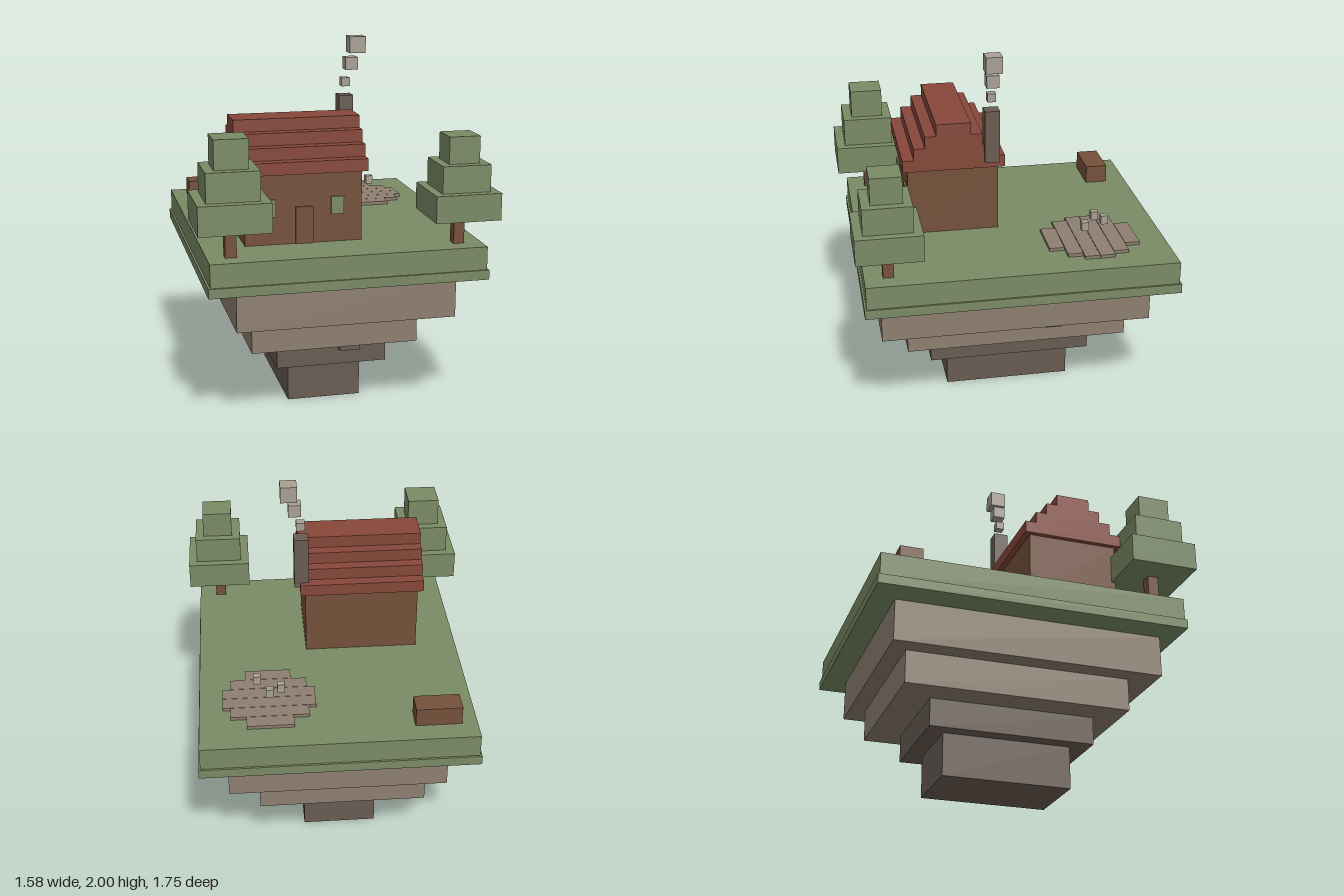
import * as THREE from 'three';

const mat = (name, color) => {
  const m = new THREE.MeshStandardMaterial({ color });
  m.name = name;
  return m;
};

export function createModel() {
  const grass = mat('grass green', 0x7a8a65);
  const dirt = mat('dirt', 0x8d7f70);
  const stone = mat('dark stone', 0x695c52);
  const wood = mat('wood brown', 0x75503a);
  const roofRed = mat('roof red', 0x87483a);
  const smokeGrey = mat('smoke grey', 0xa89f94);

  const model = new THREE.Group();
  model.name = 'floatingIsland';
  const group = (name) => {
    const g = new THREE.Group();
    g.name = name;
    model.add(g);
    return g;
  };
  // Box given by its limits along each axis
  const box = (parent, name, material, [x0, x1], [y0, y1], [z0, z1]) => {
    const mesh = new THREE.Mesh(new THREE.BoxGeometry(x1 - x0, y1 - y0, z1 - z0), material);
    mesh.position.set((x0 + x1) / 2, (y0 + y1) / 2, (z0 + z1) / 2);
    mesh.name = name;
    parent.add(mesh);
  };
  // Cube given by its centre and size
  const cube = (parent, name, material, x, y, z, s) =>
    box(parent, name, material, [x - s / 2, x + s / 2], [y - s / 2, y + s / 2], [z - s / 2, z + s / 2]);

  // Island: stepped slabs narrowing downward
  const island = group('island');
  box(island, 'grassTop', grass, [-0.731, 0.738], [0.84, 0.965], [-0.862, 0.813]);
  box(island, 'grassRim', grass, [-0.742, 0.748], [0.788, 0.84], [-0.873, 0.823]);
  box(island, 'upperDirt', dirt, [-0.586, 0.598], [0.563, 0.788], [-0.746, 0.729]);
  box(island, 'lowerDirt', dirt, [-0.482, 0.432], [0.385, 0.563], [-0.655, 0.578]);
  box(island, 'upperStone', stone, [-0.318, 0.297], [0.233, 0.385], [-0.476, 0.435]);
  box(island, 'lowerStone', stone, [-0.236, 0.175], [0, 0.233], [-0.38, 0.329]);
  box(island, 'sideRock', stone, [0.41, 0.506], [0.505, 0.56], [-0.277, -0.18]);
  box(island, 'frontRock', stone, [0.027, 0.142], [0.319, 0.383], [0.37, 0.47]);

  // House: walls, door, windows
  const house = group('house');
  box(house, 'walls', wood, [-0.502, 0.13], [0.965, 1.345], [0.018, 0.521]);
  box(house, 'door', wood, [-0.23, -0.136], [0.965, 1.165], [0.521, 0.53]);
  for (const x of [-0.37, -0.003])
    box(house, 'window', grass, [x - 0.035, x + 0.035], [1.116, 1.211], [0.521, 0.53]);

  // Stepped roof
  for (let i = 0; i < 4; i++) {
    const y = 1.344 + i * 0.0665, half = 0.282 - i * 0.0623;
    box(house, 'roofStep', roofRed, [-0.53, 0.158], [y, y + 0.0665], [0.267 - half, 0.267 + half]);
  }

  // Chimney and smoke puffs
  box(house, 'chimney', stone, [0.11, 0.19], [1.383, 1.678], [0.018, 0.1]);
  [[0.151, 1.749, 0.047], [0.182, 1.852, 0.069], [0.213, 1.955, 0.09]].forEach(([x, y, s]) =>
    cube(house, 'smokePuff', smokeGrey, x, y, 0.06, s));

  // Trees: square trunk with three shrinking foliage blocks
  const tree = (name, x, z, trunk, y0, h, widths) => {
    const g = group(name);
    box(g, 'trunk', wood, [x - trunk / 2, x + trunk / 2], [0.965, y0], [z - trunk / 2, z + trunk / 2]);
    widths.forEach((w, i) => box(g, 'foliage', grass, [x - w / 2, x + w / 2],
      [y0 + i * h, y0 + (i + 1) * h], [z - w / 2, z + w / 2]));
  };
  tree('rightTree', -0.607, 0.685, 0.06, 1.125, 0.155, [0.375, 0.277, 0.178]);
  tree('leftTree', 0.612, 0.685, 0.058, 1.118, 0.144, [0.352, 0.26, 0.166]);

  // Round paved patch made of strips, with pebbles hovering above
  const patch = group('pavedPatch');
  [0.126, 0.21, 0.251, 0.251, 0.21, 0.126].forEach((half, i) => {
    const z = -0.705 + i * 0.0842;
    box(patch, 'strip', dirt, [0.361 - half, 0.361 + half], [0.955, 0.983], [z, z + 0.082]);
  });
  [[0.296, -0.491], [0.358, -0.532], [0.423, -0.408]].forEach(([x, z]) =>
    box(patch, 'pebble', smokeGrey, [x - 0.02, x + 0.02], [1.051, 1.1], [z - 0.02, z + 0.02]));

  // Crate at the back
  box(model, 'crate', wood, [-0.647, -0.4], [0.965, 1.068], [-0.744, -0.62]);

  return model;
}
